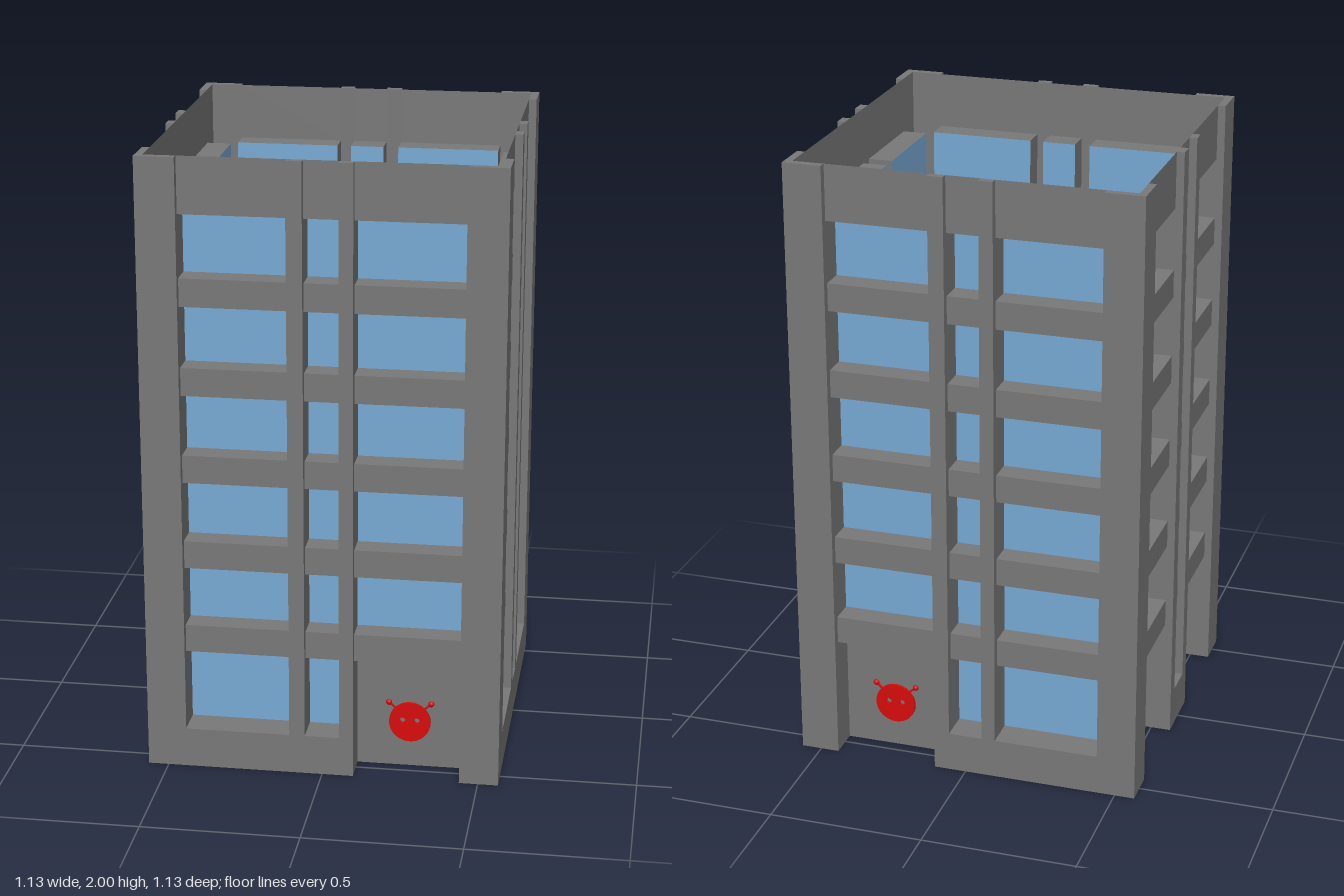
import * as THREE from 'three';

const OUT = 0.565, WALL = 0.54, GLASS = 0.46, TOP = 2;
const COLUMNS = [[-0.44, -0.105], [-0.055, 0.055], [0.1, 0.44]];
const POSTS = [[-0.565, -0.44], [-0.105, -0.055], [0.055, 0.1], [0.44, 0.565]];
const FLOORS = [[0.13, 0.39], [0.48, 0.675], [0.765, 0.96], [1.05, 1.245], [1.335, 1.53], [1.62, 1.82]];

export function createModel() {
  const concrete = new THREE.MeshStandardMaterial({ color: 0x797979, side: THREE.DoubleSide });
  concrete.name = 'grey concrete';
  const glass = new THREE.MeshStandardMaterial({ color: 0x78abd5, side: THREE.DoubleSide });
  glass.name = 'blue glass';
  const red = new THREE.MeshStandardMaterial({ color: 0xd90c0c, side: THREE.DoubleSide });
  red.name = 'red paint';

  const add = (parent, name, geometry, material, x, y, z) => {
    const mesh = new THREE.Mesh(geometry, material);
    mesh.name = name;
    mesh.position.set(x, y, z);
    parent.add(mesh);
    return mesh;
  };
  // Upright sheet facing +z
  const sheet = (parent, name, [x0, x1], [y0, y1], z, material) =>
    add(parent, name, new THREE.PlaneGeometry(x1 - x0, y1 - y0), material, (x0 + x1) / 2, (y0 + y1) / 2, z);
  const block = (parent, name, [x0, x1], [y0, y1], [z0, z1]) =>
    add(parent, name, new THREE.BoxGeometry(x1 - x0, y1 - y0, z1 - z0), concrete,
      (x0 + x1) / 2, (y0 + y1) / 2, (z0 + z1) / 2);

  // Recess from the wall surface back to its pane
  function recess(parent, u, v, front, isDoor) {
    const depth = front - GLASS, z = (front + GLASS) / 2;
    const mx = (u[0] + u[1]) / 2, my = (v[0] + v[1]) / 2;
    sheet(parent, isDoor ? 'door' : 'window', u, v, GLASS, isDoor ? concrete : glass);
    for (const y of isDoor ? [v[1]] : v) {
      const ledge = add(parent, 'ledge', new THREE.PlaneGeometry(u[1] - u[0], WALL - GLASS), concrete, mx, y, (WALL + GLASS) / 2);
      ledge.rotation.x = y === v[0] ? -Math.PI / 2 : Math.PI / 2;
    }
    u.forEach((x, i) => {
      const reveal = add(parent, 'reveal', new THREE.PlaneGeometry(depth, v[1] - v[0]), concrete, x, my, z);
      reveal.rotation.y = i ? -Math.PI / 2 : Math.PI / 2;
    });
  }

  // Round door ornament with eye holes and two feelers
  function emblem(parent, x) {
    const group = new THREE.Group();
    group.name = 'doorEmblem';
    group.position.set(x, 0.155, GLASS);
    const face = new THREE.Shape().absarc(0, 0, 0.067, 0, Math.PI * 2);
    for (const s of [-1, 1]) {
      face.holes.push(new THREE.Path().absarc(s * 0.023, 0.006, 0.009, 0, Math.PI * 2, true));
      const feeler = add(group, 'feeler', new THREE.BoxGeometry(0.045, 0.006, 0.008), red, s * 0.052, 0.05, 0);
      feeler.rotation.z = s * 0.75;
      add(group, 'feelerTip', new THREE.SphereGeometry(0.01, 10, 8), red, s * 0.068, 0.064, 0);
    }
    const disc = new THREE.ExtrudeGeometry(face, { depth: 0.018, bevelEnabled: false, curveSegments: 16 });
    add(group, 'emblemFace', disc, red, 0, 0, -0.009);
    parent.add(group);
  }

  function facade(name, angle, doorColumns, smallMarks) {
    const side = new THREE.Group();
    side.name = name;
    side.rotation.y = angle;
    for (const [i, u] of POSTS.entries())
      block(side, i % 3 ? 'mullion' : 'cornerPost', u, [0, TOP], [WALL, OUT]);
    COLUMNS.forEach((u, c) => {
      const hasDoor = doorColumns.includes(c);
      FLOORS.forEach((v, f) => {
        const isDoor = hasDoor && f === 0;
        recess(side, u, isDoor ? [0, v[1]] : v, WALL, isDoor);
        const next = f < FLOORS.length - 1 ? FLOORS[f + 1][0] : TOP;
        sheet(side, f < 5 ? 'floorBand' : 'parapet', u, [v[1], next], WALL, concrete);
      });
      if (!hasDoor) block(side, 'base', u, [0, FLOORS[0][0]], [WALL, OUT]);
      else if (!smallMarks) emblem(side, (u[0] + u[1]) / 2);
      else {
        // Small red marks showing through the side doors
        const x = (u[0] + u[1]) / 2;
        add(side, 'doorMark', new THREE.BoxGeometry(0.1, 0.012, 0.016), red, x, 0.185, GLASS);
        for (const s of [-1, 1])
          add(side, 'doorMarkTip', new THREE.SphereGeometry(0.011, 10, 8), red, x + s * 0.06, 0.195, GLASS);
      }
    });
    return side;
  }

  const tower = new THREE.Group();
  tower.name = 'tower';
  tower.add(
    facade('frontFacade', 0, [2], false),
    facade('leftFacade', Math.PI / 2, [], false),
    facade('backFacade', Math.PI, [0], false),
    facade('rightFacade', -Math.PI / 2, [0, 2], true)
  );
  return tower;
}
